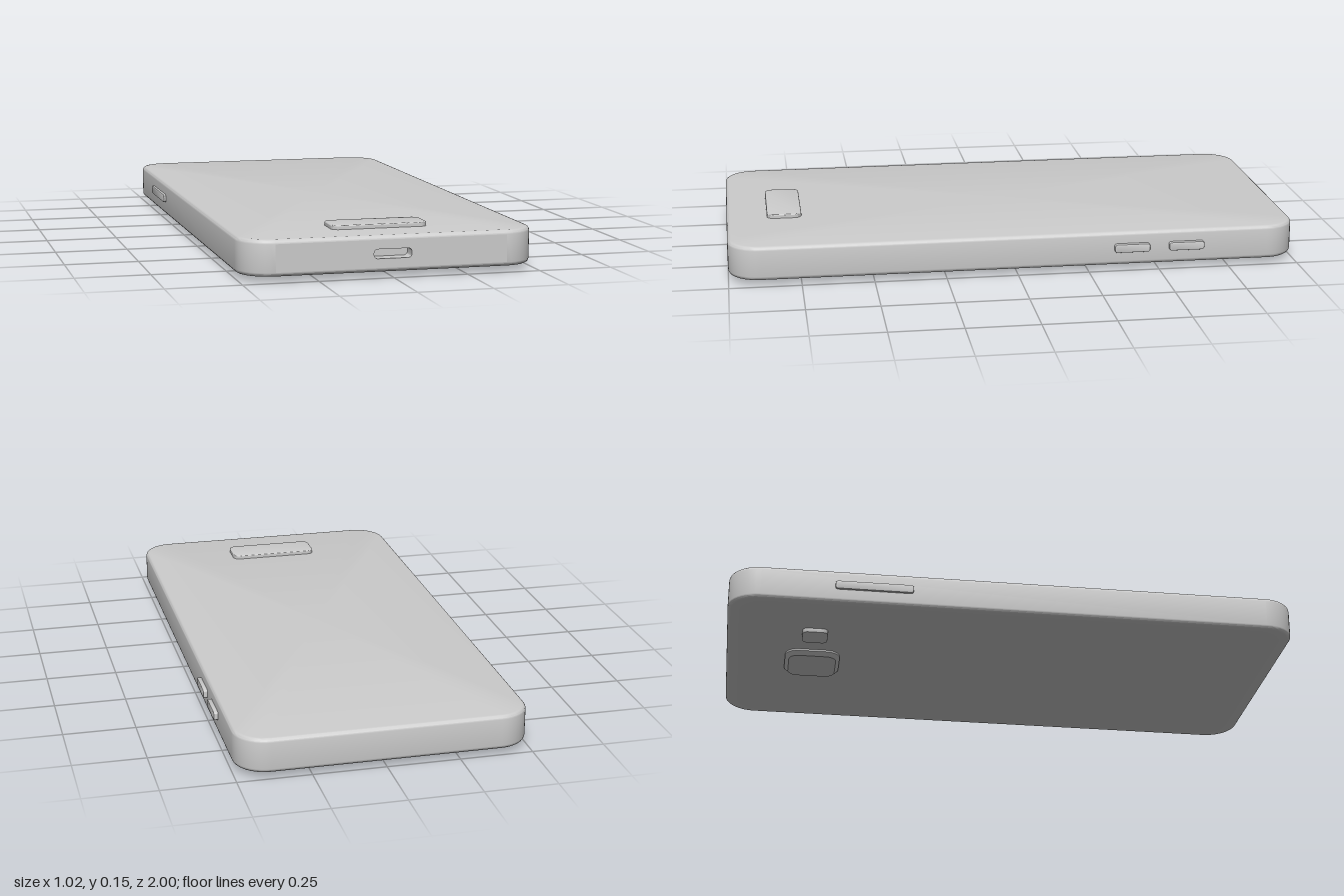
import * as THREE from 'three';
import { toCreasedNormals } from 'three/addons/utils/BufferGeometryUtils.js';

const CX = -0.004;                       // body centre in x
const HALF_W = 0.498, HALF_L = 1, Y0 = 0.02, Y1 = 0.14;
const CORNER = 0.11, EDGE = 0.014;
const SLOT = { w: 0.127, h: 0.031, r: 0.0125, depth: 0.05 };

const grey = new THREE.MeshStandardMaterial({ color: 0xcccccc });

function roundedRect(w, h, r, path = new THREE.Shape()) {
  const x = w / 2, y = h / 2, q = Math.PI / 2;
  path.moveTo(x, r - y);
  path.absarc(x - r, y - r, r, 0, q);
  path.absarc(r - x, y - r, r, q, 2 * q);
  path.absarc(r - x, r - y, r, 2 * q, 3 * q);
  path.absarc(x - r, r - y, r, 3 * q, 4 * q);
  return path;
}

// Casing: rounded outline swept up a profile with rounded edges
function casingGeometry() {
  const N = 10, S = 4, profile = [];
  for (let i = 0; i <= S; i++) {
    const a = (i / S) * Math.PI / 2;
    profile.push([EDGE * (1 - Math.sin(a)), Y0 + EDGE * (1 - Math.cos(a))]);
  }
  for (let i = S; i >= 0; i--) profile.push([profile[i][0], Y0 + Y1 - profile[i][1]]);

  const pos = [], index = [], M = 4 * (N + 1);
  for (const [inset, y] of profile) {
    for (let c = 0; c < 4; c++) {
      const sx = c === 0 || c === 3 ? 1 : -1, sz = c < 2 ? 1 : -1;
      for (let i = 0; i <= N; i++) {
        const a = (c + i / N) * Math.PI / 2;
        pos.push(sx * (HALF_W - CORNER) + Math.cos(a) * (CORNER - inset), y,
          sz * (HALF_L - CORNER) + Math.sin(a) * (CORNER - inset));
      }
    }
  }
  for (let j = 0; j < profile.length - 1; j++) {
    for (let i = 0; i < M; i++) {
      if (j === S && i === N) continue;   // flat front wall is the socket plate
      const k = (i + 1) % M, a = j * M, b = a + M;
      index.push(a + i, b + i, b + k, a + i, b + k, a + k);
    }
  }
  // screen side and back side
  const bottom = pos.length / 3, top = bottom + 1, last = (profile.length - 1) * M;
  pos.push(0, Y0, 0, 0, Y1, 0);
  for (let i = 0; i < M; i++) {
    const k = (i + 1) % M;
    index.push(bottom, i, k, top, last + k, last + i);
  }
  const g = new THREE.BufferGeometry();
  g.setAttribute('position', new THREE.Float32BufferAttribute(pos, 3));
  g.setIndex(index);
  return toCreasedNormals(g, 0.6);
}

// Rounded pad rising along +z from a base at z = 0, sunk slightly below it
function padGeometry(w, h, r, height, bevel, bevelSegments) {
  const sink = 0.01 + bevel;
  const g = new THREE.ExtrudeGeometry(
    roundedRect(w - 2 * bevel, h - 2 * bevel, Math.max(r - bevel, 0.002)), {
      depth: height + sink - 2 * bevel, bevelEnabled: bevel > 0,
      bevelSize: bevel, bevelThickness: bevel, bevelSegments, curveSegments: 6,
    });
  g.translate(0, 0, bevel - sink);
  return toCreasedNormals(g, 0.6);
}

export function createModel() {
  const phone = new THREE.Group();
  phone.name = 'phone';
  const add = (name, geometry, x, y, z, rx = 0, ry = 0) => {
    const mesh = new THREE.Mesh(geometry, grey);
    mesh.name = name;
    mesh.position.set(x, y, z);
    mesh.rotation.set(rx, ry, 0);
    phone.add(mesh);
  };
  const Q = Math.PI / 2, midY = (Y0 + Y1) / 2;

  add('casing', casingGeometry(), CX, 0, 0);

  // Front wall with the charging socket cut into it
  const wall = new THREE.Shape(), wx = HALF_W - CORNER, wy = (Y1 - Y0) / 2 - EDGE;
  wall.moveTo(-wx, -wy).lineTo(wx, -wy).lineTo(wx, wy).lineTo(-wx, wy).closePath();
  wall.holes.push(roundedRect(SLOT.w, SLOT.h, SLOT.r, new THREE.Path()));
  const plate = new THREE.ExtrudeGeometry(wall, {
    depth: SLOT.depth, bevelEnabled: false, curveSegments: 6,
  });
  add('socketPlate', toCreasedNormals(plate, 0.6), CX, midY, HALF_L - SLOT.depth);
  add('socketFloor', new THREE.PlaneGeometry(SLOT.w + 0.01, SLOT.h + 0.01),
    CX, midY, HALF_L - SLOT.depth + 0.0005);

  // Home key on the screen side
  add('homeKey', padGeometry(0.328, 0.123, 0.026, 0.014, 0.004, 3), CX, Y1, 0.795, -Q);

  // Camera and flash on the back
  add('camera', padGeometry(0.202, 0.198, 0.05, 0.02, 0.014, 1), CX, Y0, -0.69, Q);
  add('flash', padGeometry(0.09, 0.09, 0.02, 0.015, 0.002, 2), -0.236, Y0, -0.69, Q);

  // Side keys
  const key = padGeometry(0.125, 0.03, 0.009, 0.015, 0.003, 2);
  for (const [name, z] of [['volumeUpKey', -0.597], ['volumeDownKey', -0.403]]) {
    add(name, key, CX + HALF_W, midY + 0.003, z, 0, Q);
  }
  add('powerKey', padGeometry(0.27, 0.03, 0.009, 0.009, 0.003, 2),
    CX - HALF_W, midY + 0.003, -0.5, 0, -Q);

  return phone;
}
